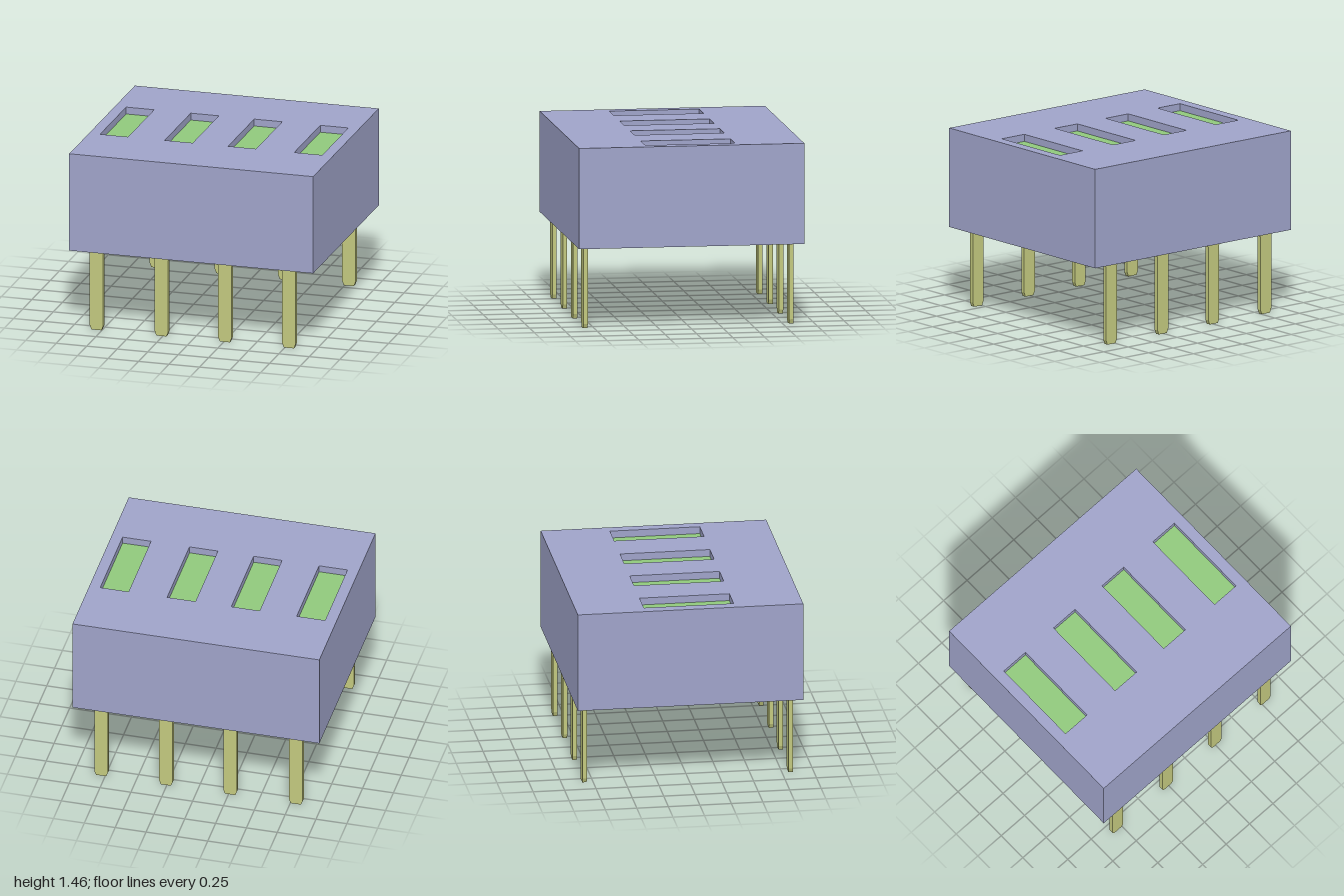
import * as THREE from 'three';

const BOTTOM = 0.655, TOP = 1.455, DEPTH = 0.06, HALF_Z = 0.895;
const PIN_Z = 0.818, PIN_T = 0.035, PIN_W = 0.055;

const bodyMat = new THREE.MeshStandardMaterial({ color: 0x9fa3c9 });
const switchMat = new THREE.MeshStandardMaterial({ color: 0x90c97c });
const pinMat = new THREE.MeshStandardMaterial({ color: 0xc2c87e });

// Rectangle traced as a shape or a hole
function rect(path, x0, y0, x1, y1) {
  path.moveTo(x0, y0);
  path.lineTo(x1, y0);
  path.lineTo(x1, y1);
  path.lineTo(x0, y1);
  path.closePath();
  return path;
}

// Flat pin with a tapered tip and a shoulder on the chosen sides
function pinGeometry(leftShoulder, rightShoulder) {
  const top = BOTTOM + 0.01;
  const side = (s, shoulder) => {
    const pts = [[s * 0.041, 0], [s * PIN_W, 0.035]];
    if (shoulder) pts.push([s * PIN_W, 0.63], [s * 0.108, 0.65], [s * 0.108, top]);
    else pts.push([s * PIN_W, top]);
    return pts;
  };
  const outline = [...side(1, rightShoulder), ...side(-1, leftShoulder).reverse()];
  const shape = new THREE.Shape(outline.map(([x, y]) => new THREE.Vector2(x, y)));
  const geo = new THREE.ExtrudeGeometry(shape, { depth: PIN_T, bevelEnabled: false });
  return geo.translate(0, 0, -PIN_T / 2);
}

export function createModel() {
  const model = new THREE.Group();
  model.name = 'slideSwitchBlock';
  const add = (name, geo, mat, x = 0, y = 0, z = 0) => {
    const mesh = new THREE.Mesh(geo, mat);
    mesh.name = name;
    mesh.position.set(x, y, z);
    model.add(mesh);
  };

  // Solid lower housing
  const lowerH = TOP - DEPTH - BOTTOM;
  add('housing', new THREE.BoxGeometry(2, lowerH, HALF_Z * 2), bodyMat, 0, BOTTOM + lowerH / 2, 0);

  // Top layer pierced by the slots
  const slots = [-0.795, -0.265, 0.255, 0.797];
  const cover = rect(new THREE.Shape(), -1, -HALF_Z, 1, HALF_Z);
  for (const x of slots) {
    cover.holes.push(rect(new THREE.Path(), x - 0.115, -0.355, x + 0.115, 0.358));
  }
  const coverGeo = new THREE.ExtrudeGeometry(cover, { depth: DEPTH, bevelEnabled: false });
  coverGeo.rotateX(-Math.PI / 2);
  add('slottedTop', coverGeo, bodyMat, 0, TOP - DEPTH, 0);

  // Coloured slot floors
  const floorGeo = new THREE.PlaneGeometry(0.23, 0.713).rotateX(-Math.PI / 2);
  slots.forEach((x, i) => add(`slotFloor${i + 1}`, floorGeo, switchMat, x, TOP - DEPTH + 0.003, -0.0015));

  // Two rows of pins; the end pins have only an inner shoulder
  const pins = [-0.795, -0.262, 0.258, 0.783];
  pins.forEach((x, i) => {
    const geo = pinGeometry(i > 0, i < pins.length - 1);
    add(`frontPin${i + 1}`, geo, pinMat, x, 0, PIN_Z);
    add(`backPin${i + 1}`, geo, pinMat, x, 0, -PIN_Z);
  });

  return model;
}
